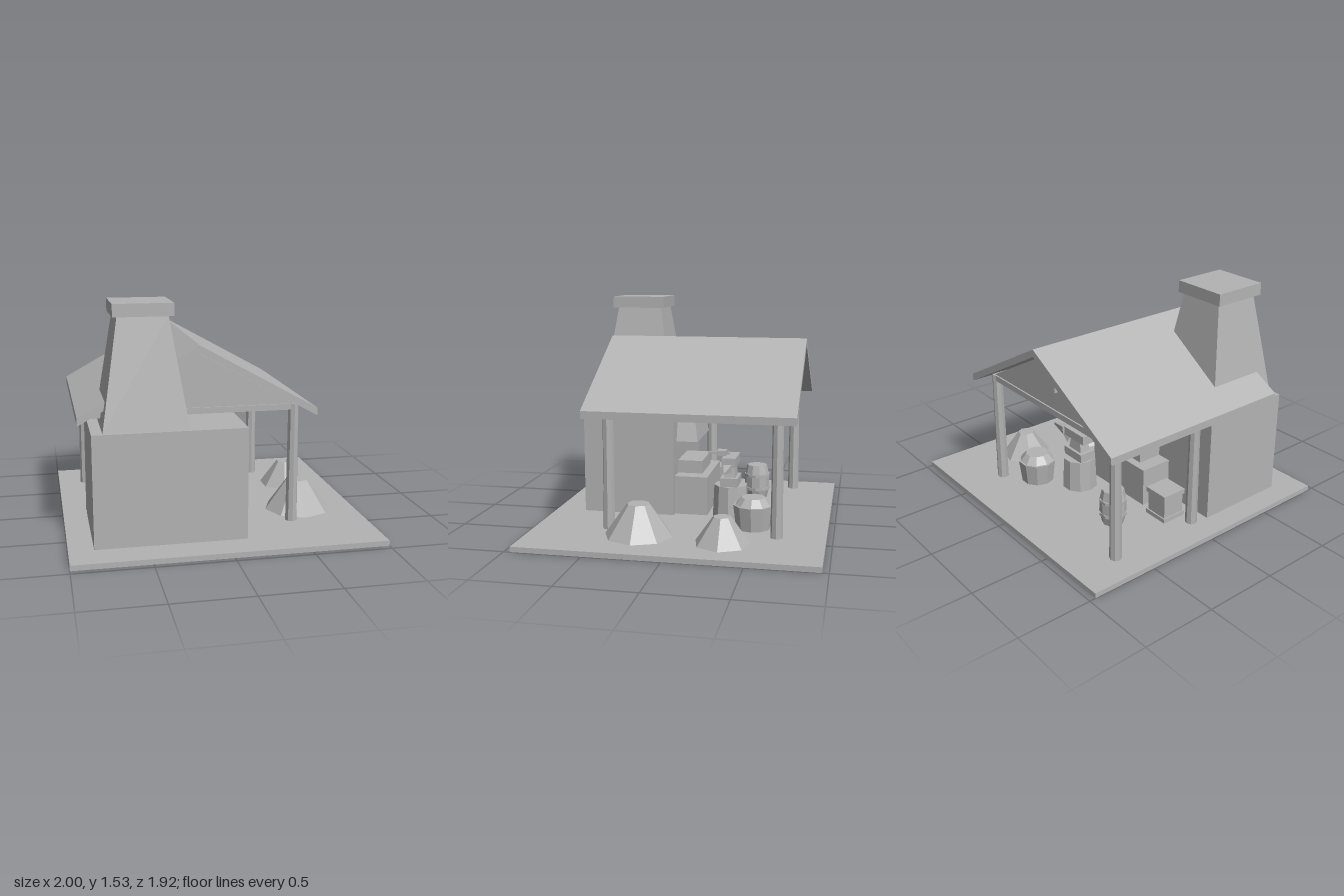
import * as THREE from 'three';

export function createModel() {
  const model = new THREE.Group();
  model.name = 'smithy';
  const grey = new THREE.MeshStandardMaterial({ color: 0xb3b3b3 });
  grey.name = 'plain grey';
  grey.flatShading = true;

  const add = (name, geometry, parent = model) => {
    const mesh = new THREE.Mesh(geometry, grey);
    mesh.name = name;
    parent.add(mesh);
    return mesh;
  };
  const group = (name) => {
    const g = new THREE.Group();
    g.name = name;
    model.add(g);
    return g;
  };
  // Box given by its limits on each axis
  const box = (name, [x0, x1], [y0, y1], [z0, z1], parent) => {
    const mesh = add(name, new THREE.BoxGeometry(x1 - x0, y1 - y0, z1 - z0), parent);
    mesh.position.set((x0 + x1) / 2, (y0 + y1) / 2, (z0 + z1) / 2);
    return mesh;
  };
  // Box whose top is scaled about its centre
  const taperedBox = (name, xs, ys, zs, sx, sz, parent) => {
    const mesh = box(name, xs, ys, zs, parent);
    const p = mesh.geometry.attributes.position;
    for (let i = 0; i < p.count; i++) {
      if (p.getY(i) > 0) p.setXYZ(i, p.getX(i) * sx, p.getY(i), p.getZ(i) * sz);
    }
    mesh.geometry.computeVertexNormals();
    return mesh;
  };
  // Upright round part with a corner pointing to +x
  const drum = (name, x, z, y0, y1, rBottom, rTop, sides, parent) => {
    const geometry = new THREE.CylinderGeometry(rTop, rBottom, y1 - y0, sides).rotateY(Math.PI / 2);
    const mesh = add(name, geometry, parent);
    mesh.position.set(x, (y0 + y1) / 2, z);
    return mesh;
  };
  // Outline in x and y, extruded from z0 to z1
  const slab = (name, points, z0, z1, parent) => {
    const shape = new THREE.Shape(points.map(([x, y]) => new THREE.Vector2(x, y)));
    const geometry = new THREE.ExtrudeGeometry(shape, { depth: z1 - z0, bevelEnabled: false });
    const mesh = add(name, geometry, parent);
    mesh.position.z = z0;
    return mesh;
  };

  const floor = 0.035;
  box('ground', [-1, 1], [0, floor], [-0.96, 0.96]);

  // Masonry block and chimney
  box('furnaceBlock', [-0.84, 0.13], [floor, 0.76], [0.11, 0.75]);
  const chimney = group('chimney');
  taperedBox('chimneyStack', [-0.77, -0.235], [0.76, 1.45], [0.195, 0.73], 0.59, 0.59, chimney);
  box('chimneyCap', [-0.69, -0.315], [1.45, 1.53], [0.28, 0.655], chimney);

  // Hearth with its smoke hood
  const hearth = group('hearth');
  box('hearthBase', [-0.45, 0.09], [floor, 0.305], [-0.12, 0.11], hearth);
  box('hearthBed', [-0.35, -0.02], [0.305, 0.395], [-0.065, 0.11], hearth);
  taperedBox('smokeHood', [-0.42, 0.03], [0.54, 0.98], [-0.04, 0.32], 0.45, 0.58, hearth);

  // Roof, gables and frame
  const roof = group('roof');
  slab('roofPanels', [
    [-0.915, 0.785], [-0.15, 1.21], [0.615, 0.785],
    [0.615, 0.835], [-0.15, 1.26], [-0.915, 0.835],
  ], -0.77, 0.615, roof);
  for (const z of [-0.645, 0.465]) {
    slab('gable', [[-0.81, 0.835], [0.51, 0.835], [-0.15, 1.2]], z - 0.015, z + 0.015, roof);
    box('tieBeam', [-0.82, 0.52], [0.8, 0.84], [z - 0.025, z + 0.025], roof);
  }
  for (const x of [-0.8, 0.5]) {
    box('wallBeam', [x - 0.025, x + 0.025], [0.8, 0.84], [-0.645, 0.465], roof);
  }
  box('gableVent', [-0.255, -0.045], [0.98, 1.18], [-0.69, -0.65], roof);
  for (const [x, z] of [[0.5, 0.465], [0.5, -0.645], [-0.8, 0], [-0.8, -0.645]]) {
    drum('post', x, z, floor, 0.84, 0.04, 0.035, 8, roof);
  }

  // Anvil on a stump, with a hammer on top
  const anvil = group('anvil');
  const ax = 0.055, az = -0.28;
  drum('stump', ax, az, floor, 0.26, 0.125, 0.115, 10, anvil);
  box('anvilFoot', [-0.04, 0.15], [0.26, 0.32], [az - 0.06, az + 0.06], anvil);
  taperedBox('anvilWaist', [-0.01, 0.12], [0.32, 0.4], [az - 0.04, az + 0.04], 0.8, 0.8, anvil);
  box('anvilTop', [-0.055, 0.165], [0.4, 0.463], [az - 0.048, az + 0.048], anvil);
  const horn = add('anvilHorn', new THREE.CylinderGeometry(0.01, 0.038, 0.13, 4)
    .rotateY(Math.PI / 4).rotateZ(-Math.PI / 2), anvil);
  horn.position.set(0.28, 0.403, az);
  box('hammerHead', [0.02, 0.09], [0.463, 0.498], [-0.25, -0.185], anvil);
  box('hammerHandle', [0.045, 0.065], [0.47, 0.485], [-0.27, -0.12], anvil);

  // Tub with a heaped filling
  const tub = group('tub');
  drum('tubWall', 0.31, -0.47, floor, 0.195, 0.115, 0.135, 10, tub);
  drum('tubFilling', 0.31, -0.47, 0.195, 0.245, 0.122, 0.08, 10, tub);

  // Barrel with a bulging side and two hoops
  const barrel = group('barrel');
  const profile = [[0, floor], [0.073, floor], [0.09, 0.11], [0.09, 0.21], [0.073, 0.285], [0, 0.285]];
  const barrelBody = add('barrelBody',
    new THREE.LatheGeometry(profile.map(([r, y]) => new THREE.Vector2(r, y)), 10), barrel);
  barrelBody.position.set(-0.47, 0, -0.4);
  for (const y of [0.1, 0.2]) drum('barrelHoop', -0.47, -0.4, y, y + 0.02, 0.095, 0.095, 10, barrel);

  // Crate with a lid and a foot rim
  const crate = group('crate');
  box('crateBody', [-0.7, -0.54], [floor, 0.2], [-0.15, 0.01], crate);
  box('crateLid', [-0.71, -0.53], [0.2, 0.235], [-0.16, 0.02], crate);
  box('crateRim', [-0.71, -0.53], [floor, 0.065], [-0.16, 0.02], crate);

  // Heaps of fuel and ore outside
  drum('frontHeap', 0.61, 0.235, floor, 0.245, 0.225, 0.075, 8);
  drum('backHeap', 0.68, -0.32, floor, 0.21, 0.18, 0.057, 7);

  return model;
}
